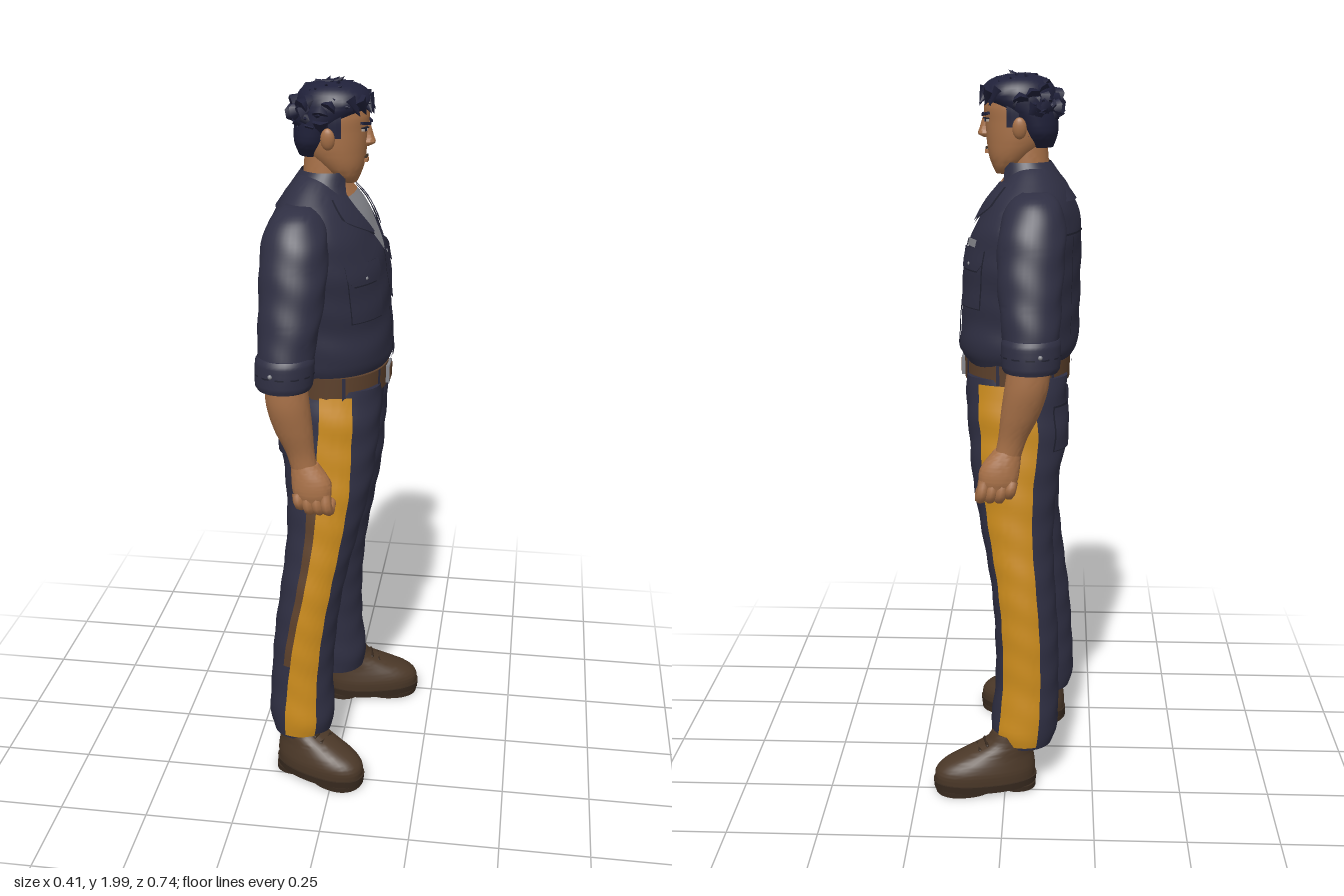
import * as THREE from 'three';
import { toCreasedNormals } from 'three/addons/utils/BufferGeometryUtils.js';

const mat = (name, color, side = THREE.FrontSide) => {
  const m = new THREE.MeshStandardMaterial({ color, side });
  m.name = name;
  return m;
};

// Interpolated cross-section [cx, cz, rx, rz] at height y; rows are [y, cx, cz, rx, rz], rising
function sample(rows, y) {
  let i = 0;
  while (i < rows.length - 2 && y > rows[i + 1][0]) i++;
  const a = rows[i], b = rows[i + 1], p = rows[i - 1] || a, q = rows[i + 2] || b;
  const h = b[0] - a[0], t = (y - a[0]) / h, t2 = t * t, t3 = t2 * t;
  return [1, 2, 3, 4].map(k => {
    const ma = (b[k] - p[k]) / (b[0] - p[0]), mb = (q[k] - a[k]) / (q[0] - a[0]);
    return (2 * t3 - 3 * t2 + 1) * a[k] + (t3 - 2 * t2 + t) * h * ma + (3 * t2 - 2 * t3) * b[k] + (t3 - t2) * h * mb;
  });
}

// Point on a lofted body at angle th (0 = forward +x, PI/2 = +z), pushed out by off.
// rows.fold ripples the cloth, rows.power squares the section, rows.shear brings the -z side forward
function pointOn(rows, y, th, off = 0) {
  const [cx, cz, rx, rz] = sample(rows, y), e = rows.power || 1;
  const f = 1 + (rows.fold || 0) * Math.sin(y * 62 + 2 * Math.sin(2 * th) + th);
  const soft = v => Math.sign(v) * Math.abs(v) ** e;
  const z = (rz * f + off) * soft(Math.sin(th));
  return [cx + (rx * f + off) * soft(Math.cos(th)) - (rows.shear || 0) * z, y, cz + z];
}

// Lofted body, or with a range function a thin patch following the body's surface
function loft(rows, { y0 = rows[0][0], y1 = rows.at(-1)[0], range = null, off = 0, n = 28, seg = 36 } = {}) {
  const pos = [], idx = [], w = seg + 1;
  for (let i = 0; i <= n; i++) {
    const y = y0 + (y1 - y0) * i / n, [a, b] = range ? range(y) : [0, Math.PI * 2];
    for (let j = 0; j <= seg; j++) pos.push(...pointOn(rows, y, a + (b - a) * j / seg, off));
  }
  for (let i = 0; i < n; i++) for (let j = 0; j < seg; j++) {
    const a = i * w + j, b = a + w;
    idx.push(a, b, a + 1, b, b + 1, a + 1);
  }
  if (!range) for (const [y, base, top] of [[y0, 0, false], [y1, n * w, true]]) {
    const c = pos.length / 3, [cx, cz] = sample(rows, y);
    pos.push(cx, y, cz);
    for (let j = 0; j < seg; j++) top ? idx.push(c, base + j + 1, base + j) : idx.push(c, base + j, base + j + 1);
  }
  const g = new THREE.BufferGeometry();
  g.setAttribute('position', new THREE.Float32BufferAttribute(pos, 3));
  g.setIndex(idx);
  return toCreasedNormals(g, 0.8);
}

export function createModel() {
  const navy = mat('navy cloth', 0x2f2f43, THREE.DoubleSide), seam = mat('dark seam', 0x20212f);
  const hairM = mat('blue black hair', 0x20213a), skin = mat('skin', 0xa87148), gold = mat('gold stripe', 0xc98a1c);
  const boot = mat('boot leather', 0x4b3828), sole = mat('dark sole', 0x382a1f), leather = mat('belt leather', 0x5c402b);
  const grey = mat('grey', 0x85868c), white = mat('eye white', 0xb5aaa0);
  const model = new THREE.Group();
  const add = (name, geo, m, parent = model) => {
    const mesh = new THREE.Mesh(geo, m);
    mesh.name = name;
    parent.add(mesh);
    return mesh;
  };
  // Patch between angles a and b, mirrored when s is -1
  const patch = (name, rows, y0, y1, a, b, off, m, s = 1) => add(name, loft(rows, {
    y0, y1, off, n: Math.max(6, Math.ceil((y1 - y0) * 60)), seg: 12,
    range: y => {
      const p = typeof a === 'function' ? a(y) : a, q = typeof b === 'function' ? b(y) : b;
      return s > 0 ? [p, q] : [-q, -p];
    },
  }), m);
  // Small plate lying on a body
  const plate = (name, rows, y, th, w, h, m, tilt = 0, d = 0.006) => {
    const mesh = add(name, new THREE.BoxGeometry(d, h, w), m);
    const [, , rx, rz] = sample(rows, y);
    mesh.position.set(...pointOn(rows, y, th, 0.002));
    mesh.rotation.set(tilt, -Math.atan2(Math.sin(th) / rz, Math.cos(th) / rx), 0, 'YXZ');
    return mesh;
  };
  const tube = (name, pts, r, m) => add(name, new THREE.TubeGeometry(
    new THREE.CatmullRomCurve3(pts.map(p => new THREE.Vector3(...p))), 10, r, 8), m);
  const ball = (name, p, scale, m) => {
    const mesh = add(name, new THREE.SphereGeometry(1, 14, 10), m);
    mesh.position.set(...p);
    mesh.scale.set(...scale);
    return mesh;
  };

  // Shirt body with sloping shoulders
  const torso = [[1.215, -.028, 0, .138, .166], [1.255, -.03, 0, .16, .183], [1.36, -.036, 0, .16, .189], [1.46, -.04, 0, .157, .203],
    [1.55, -.048, 0, .15, .212], [1.62, -.06, 0, .131, .208], [1.665, -.064, 0, .109, .185], [1.7, -.068, 0, .087, .143], [1.735, -.066, 0, .06, .095], [1.75, -.062, 0, .05, .068]];
  torso.fold = 0.008;
  torso.power = 0.95;
  torso.shear = 0.08;
  add('shirt', loft(torso, { n: 44, seg: 56 }), navy);
  // Open neck with undershirt, collar wings and button placket
  const vee = y => Math.max(0, (y - 1.54) / 0.16) * 0.42;
  patch('undershirt', torso, 1.54, 1.7, y => -vee(y), vee, .003, grey);
  patch('neckSkin', torso, 1.695, 1.745, -.44, .44, .004, skin);
  patch('frontSeam', torso, 1.23, 1.55, .03, .045, .004, seam);
  patch('placket', torso, 1.23, 1.55, -.06, .03, .005, navy);
  const collar = [[1.66, -.066, 0, .118, .145], [1.71, -.061, 0, .088, .1], [1.758, -.047, 0, .068, .074]];
  add('collar', loft(collar, { n: 6, range: () => [.6, Math.PI * 2 - .6] }), navy);
  for (const s of [1, -1]) {
    const spread = y => vee(y) + .03 + .42 * Math.min(1, Math.max(0, (y - 1.6) / .05));
    patch('collarWingEdge', torso, 1.595, 1.7, vee, y => spread(y) + .025, .007, seam, s);
    patch('collarWing', torso, 1.603, 1.71, vee, spread, .012, navy, s);
    // Chest pockets with flaps
    patch('pocketEdge', torso, 1.38, 1.54, .34, .99, .003, seam, s);
    patch('pocket', torso, 1.384, 1.5, .352, .978, .006, navy, s);
    const point = y => .33 + .1 * Math.max(0, (1.505 - y) / .02);
    patch('flapEdge', torso, 1.482, 1.54, point, y => 1.33 - point(y), .007, seam, s);
    patch('pocketFlap', torso, 1.487, 1.543, point, y => 1.33 - point(y), .01, navy, s);
    ball('pocketButton', pointOn(torso, 1.502, .66 * s, .008), [.005, .005, .005], grey);
    patch('backPleatSeam', torso, 1.3, 1.57, Math.PI - .5, Math.PI - .49, .003, seam, s);
  }
  patch('yokeSeam', torso, 1.575, 1.58, Math.PI - 1.1, Math.PI + 1.1, .003, seam);
  patch('chestTag', torso, 1.546, 1.566, .42, .74, .008, grey, -1);

  // Belt, loops and buckle
  const belt = [[1.168, -.025, 0, .146, .177], [1.23, -.025, 0, .147, .177]];
  add('belt', loft(belt, { n: 2, seg: 48 }), leather);
  for (const t of [.5, 1.25, 2.3, Math.PI, -2.3, -1.25, -.5]) patch('beltLoop', belt, 1.165, 1.232, t - .03, t + .03, .004, navy);
  plate('buckle', belt, 1.199, 0, .062, .05, grey, 0, .01);
  plate('buckleCentre', belt, 1.199, 0, .048, .036, leather, 0, .014);

  // Trousers
  const hips = [[.92, -.03, 0, .06, .05], [.955, -.03, 0, .092, .1], [1.0, -.029, 0, .115, .145], [1.05, -.028, 0, .128, .163], [1.11, -.026, 0, .134, .172], [1.2, -.026, 0, .138, .166]];
  add('trouserSeat', loft(hips), navy);
  patch('flySeam', hips, 1.05, 1.17, -.1, -.088, .003, seam);
  const legBase = [[.13, -.1, .18, .083, .081], [.18, -.1, .18, .095, .087], [.3, -.1, .174, .09, .083], [.45, -.09, .166, .089, .086], [.6, -.07, .155, .09, .088],
    [.75, -.045, .135, .1, .09], [.9, -.03, .11, .12, .1], [1.02, -.03, .095, .135, .1], [1.1, -.025, .086, .137, .102], [1.19, -.026, .08, .138, .09]];
  for (const s of [1, -1]) {
    const leg = legBase.map(([y, x, z, rx, rz]) => [y, x + (s < 0 ? .058 * Math.max(0, 1 - y) : 0), z * s, rx, rz]);
    leg.fold = 0.012;
    add('trouserLeg', loft(leg, { n: 60 }), navy);
    const front = s > 0 ? y => .88 + .16 * Math.abs(y - .6) / .5 : .78;
    const back = s > 0 ? y => 1.7 + .3 * Math.max(0, (.6 - y) / .45) : 2.0;
    patch('sideStripe', leg, .14, 1.175, front, back, .004, gold, s);
    if (s > 0) patch('stripeBacking', leg, .37, .86, back, y => back(y) + .24, .004, leather);
    patch('backPocketEdge', leg, .99, 1.115, 2.4, 3.1, .003, seam, s);
    patch('backPocket', leg, .994, 1.111, 2.42, 3.08, .006, navy, s);
  }

  // Boots, toes turned out
  const upper = [[.025, .058, 0, .135, .068], [.06, .057, 0, .136, .07], [.085, .047, 0, .124, .065], [.11, .024, 0, .097, .058], [.14, -.008, 0, .066, .053], [.17, -.018, 0, .054, .05]];
  const heel = [[0, -.03, 0, .05, .058], [.014, -.03, 0, .05, .058]], tread = [[0, .115, 0, .078, .064], [.014, .115, 0, .078, .064]];
  const welt = [[.012, .058, 0, .139, .071], [.034, .058, 0, .141, .073]];
  for (const r of [upper, heel, tread, welt]) r.power = .88;
  for (const s of [1, -1]) {
    const foot = new THREE.Group();
    foot.name = s > 0 ? 'rightBoot' : 'leftBoot';
    add('bootUpper', loft(upper), boot, foot);
    add('bootSole', loft(welt, { n: 2 }), sole, foot);
    add('bootHeel', loft(heel, { n: 1 }), sole, foot);
    add('bootTread', loft(tread, { n: 1 }), sole, foot);
    for (let i = 0; i < 4; i++) {
      const lace = add('lace', new THREE.CapsuleGeometry(.005, .05, 3, 6), sole, foot);
      lace.position.set(.055 + i * .02, .138 - i * .013, 0);
      lace.rotation.x = Math.PI / 2;
    }
    foot.position.set(s > 0 ? -.092 : -.002, 0, s > 0 ? .21 : -.214);
    foot.rotation.y = s > 0 ? -.4 : .22;
    if (s < 0) foot.scale.x = 1.06;
    model.add(foot);
  }

  // Arms; the left one swings slightly forward
  for (const s of [1, -1]) {
    const fwd = y => s > 0 ? 0 : .025 + .04 * (1.7 - y) / .8;
    const side = rows => rows.map(([y, x, z, rx, rz]) => [y, x + fwd(y), z * s, rx, rz]);
    const at = (x, y, z) => [x + fwd(y), y, z * s];
    const sleeve = side([[1.28, -.115, .293, .07, .068], [1.36, -.11, .28, .076, .067], [1.46, -.102, .254, .084, .068], [1.54, -.1, .228, .088, .073],
      [1.6, -.1, .204, .086, .077], [1.645, -.1, .178, .076, .076], [1.675, -.1, .158, .058, .066], [1.69, -.1, .145, .035, .04]]);
    sleeve.fold = .016;
    add('sleeve', loft(sleeve, { n: 44 }), navy);
    const cuff = side([[1.25, -.116, .296, .07, .069], [1.258, -.116, .296, .075, .073], [1.325, -.113, .292, .077, .073], [1.335, -.113, .29, .072, .068]]);
    add('rolledCuff', loft(cuff, { n: 10 }), navy);
    patch('cuffSeam', cuff, 1.29, 1.294, 0, Math.PI * 2, .002, seam);
    ball('cuffButton', pointOn(cuff, 1.3, 1.9 * s), [.006, .006, .006], grey);
    add('forearm', loft(side([[1.0, -.065, .28, .035, .028], [1.06, -.078, .282, .038, .032], [1.13, -.095, .288, .051, .045], [1.2, -.107, .294, .057, .053], [1.27, -.112, .296, .055, .052]])), skin);
    add('palm', loft(side([[.925, -.045, .292, .042, .024], [.95, -.046, .292, .052, .029], [.985, -.05, .288, .052, .031], [1.03, -.067, .281, .037, .028]])), skin);
    for (let i = 0; i < 4; i++) {
      const x = -.084 + i * .025, d = i === 0 ? .012 : 0;
      tube('finger', [at(x, .95, .3), at(x + .004, .914 + d, .306), at(x + .008, .898 + d, .288), at(x + .008, .908 + d, .264)], .0155, skin);
      ball('fingerTip', at(x + .008, .908 + d, .264), [.0155, .0155, .0155], skin);
    }
    tube('thumb', [at(-.04, 1.0, .278), at(-.016, .97, .263), at(-.016, .93, .25)], .016, skin);
    ball('thumbTip', at(-.016, .93, .25), [.016, .018, .016], skin);
  }

  // Head and face
  add('neck', loft([[1.66, -.066, 0, .06, .062], [1.72, -.055, 0, .058, .06], [1.81, -.048, 0, .056, .057]]), skin);
  const head = [[1.725, .015, 0, .018, .026], [1.738, .006, 0, .034, .046], [1.77, -.008, 0, .06, .065], [1.81, -.023, 0, .081, .076],
    [1.86, -.028, 0, .09, .08], [1.91, -.028, 0, .092, .08], [1.94, -.033, 0, .078, .068], [1.96, -.035, 0, .04, .038]];
  add('head', loft(head), skin);
  add('nose', loft([[1.82, .057, 0, .01, .012], [1.828, .06, 0, .021, .017], [1.845, .06, 0, .017, .012], [1.885, .056, 0, .009, .009]]), skin);
  plate('mouth', head, 1.792, 0, .038, .004, sole);
  plate('lowerLip', head, 1.783, 0, .028, .008, skin, 0, .012);
  for (const s of [1, -1]) {
    plate('eye', head, 1.866, .4 * s, .022, .007, white);
    plate('iris', head, 1.866, .39 * s, .008, .007, hairM, 0, .008);
    plate('eyelid', head, 1.871, .4 * s, .026, .003, seam, 0, .009);
    plate('eyebrow', head, 1.882, .4 * s, .036, .007, hairM, -.15 * s, .01);
    ball('ear', [-.032, 1.848, .084 * s], [.019, .029, .012], skin).rotation.x = .15 * s;
  }

  // Hair: a close cap covered in tousled locks
  add('hairCap', loft([[1.795, -.08, 0, .04, .05], [1.83, -.078, 0, .054, .078], [1.87, -.064, 0, .068, .087], [1.905, -.04, 0, .088, .092],
    [1.93, -.028, 0, .099, .092], [1.955, -.027, 0, .092, .082], [1.974, -.029, 0, .068, .06], [1.983, -.03, 0, .035, .03]]), hairM);
  for (const s of [1, -1]) patch('sideburn', head, 1.85, 1.905, 1.25, 1.6, .004, hairM, s);
  const up = new THREE.Vector3(0, 1, 0), locks = 120;
  for (let i = 0; i < locks; i++) {
    const ny = 1 - 1.75 * (i + .5) / locks, r = Math.sqrt(1 - ny * ny), a = i * 2.39996;
    const n = new THREE.Vector3(r * Math.cos(a), ny, r * Math.sin(a));
    if (n.x > -.2 && ny < .28) continue;
    const swirl = new THREE.Vector3(.55 + .5 * Math.sin(i * 1.7), ny > -.1 ? .05 : -.6, .7 * Math.sin(i * 2.3)).addScaledVector(n, .45);
    const lock = add('hairLock', new THREE.ConeGeometry(.023, .056, 6), hairM);
    lock.position.set(-.032 + n.x * .09, 1.9 + n.y * .077, n.z * .084);
    lock.quaternion.setFromUnitVectors(up, swirl.normalize());
  }
  // Fringe falling over the forehead
  for (let i = 0; i < 7; i++) {
    const t = (i - 3) * .28, lock = add('fringeLock', new THREE.ConeGeometry(.02, .052, 6), hairM);
    lock.position.set(...pointOn(head, 1.925, t, .01));
    lock.quaternion.setFromUnitVectors(up, new THREE.Vector3(.35, i % 2 ? -.9 : -.5, .5 * Math.sin(i * 2.1)).normalize());
  }
  return model;
}
